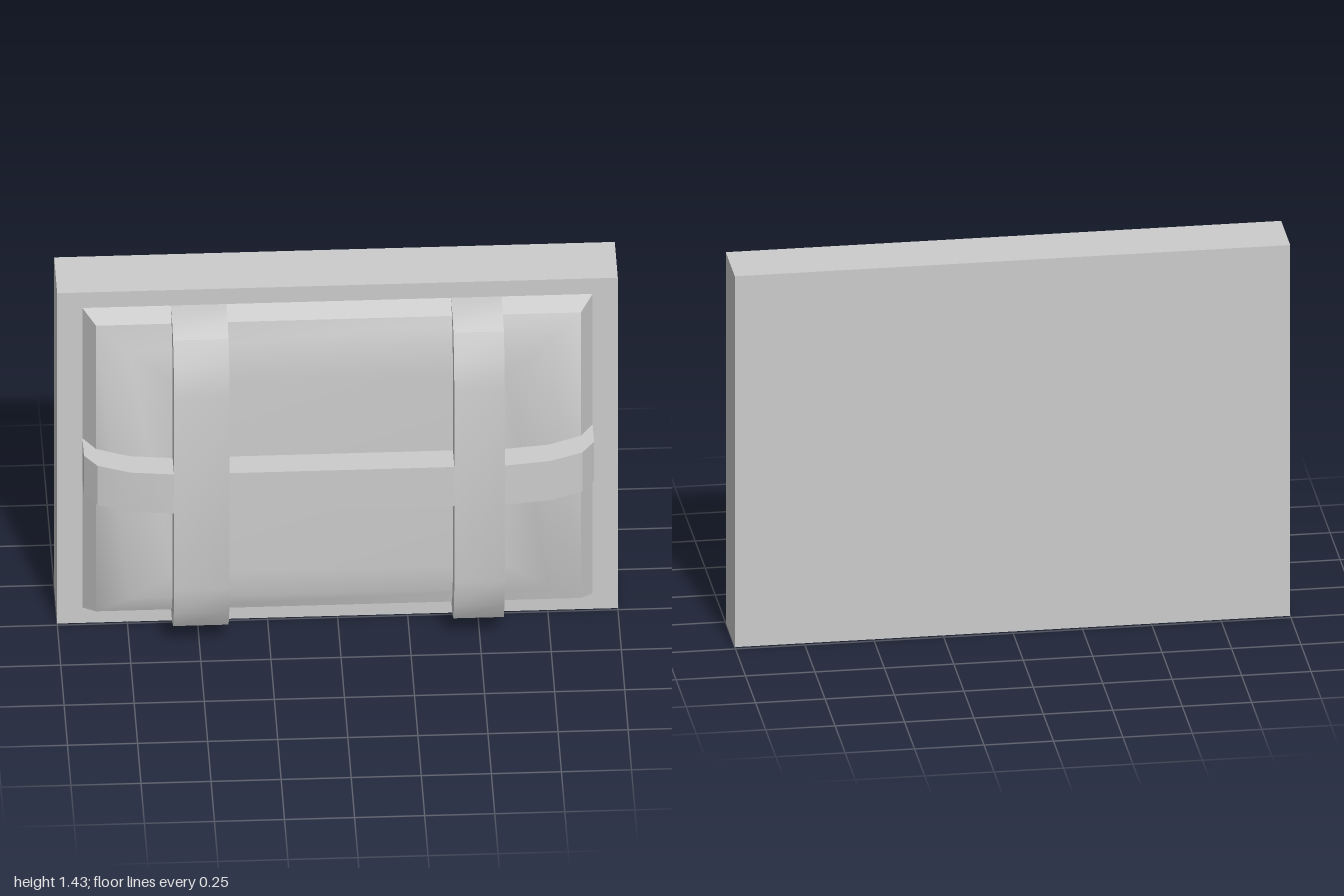
import * as THREE from 'three';
import { toCreasedNormals } from 'three/addons/utils/BufferGeometryUtils.js';

const MID_Y = 0.717;
const BACK = -0.01;

// Stepped rectangles of the cushion: half width, half height, z
const RINGS = [
  [0.91, 0.65, BACK],
  [0.865, 0.62, 0.06],
  [0.75, 0.533, 0.11],
  [0.59, 0.415, 0.13],
];

// Lofts rectangles from the outside in, optionally closing the front
function loft(rings, cap) {
  const positions = [];
  const index = [];
  for (const [w, h, z] of rings) {
    for (const [sx, sy] of [[-1, -1], [1, -1], [1, 1], [-1, 1]]) {
      positions.push(sx * w, MID_Y + sy * h, z);
    }
  }
  for (let r = 0; r < rings.length - 1; r++) {
    for (let i = 0; i < 4; i++) {
      const a = r * 4 + i;
      const b = r * 4 + (i + 1) % 4;
      index.push(a, b, b + 4, a, b + 4, a + 4);
    }
  }
  if (cap) {
    const n = (rings.length - 1) * 4;
    index.push(n, n + 1, n + 2, n, n + 2, n + 3);
  }
  const geometry = new THREE.BufferGeometry();
  geometry.setAttribute('position', new THREE.Float32BufferAttribute(positions, 3));
  geometry.setIndex(index);
  geometry.computeVertexNormals();
  return geometry;
}

function extrude(points, depth) {
  const shape = new THREE.Shape(points.map(([x, y]) => new THREE.Vector2(x, y)));
  return new THREE.ExtrudeGeometry(shape, { depth, bevelEnabled: false });
}

export function createModel() {
  const group = new THREE.Group();
  const grey = new THREE.MeshStandardMaterial({ color: 0xcccccc });
  const flatGrey = new THREE.MeshStandardMaterial({ color: 0xcccccc, flatShading: true });

  const add = (name, geometry, material = grey) => {
    const mesh = new THREE.Mesh(geometry, material);
    mesh.name = name;
    group.add(mesh);
    return mesh;
  };

  // Back slab
  add('backPanel', new THREE.BoxGeometry(2, 1.434, 0.224), flatGrey)
    .position.set(0, MID_Y, -0.122);

  // Cushion: crisp sloping rim and softly domed face
  add('cushionRim', loft(RINGS.slice(0, 2), false), flatGrey);
  add('cushionFace', loft(RINGS.slice(1), true));

  // Upright straps, bent over the top and bottom of the cushion
  const bend = [[BACK, 0.65], [0.10, 0.65], [0.165, 0.62], [0.213, 0.533], [0.234, 0.415]];
  const uprightProfile = [
    ...bend.map(([z, y]) => [z, MID_Y + y]),
    ...bend.slice().reverse().map(([z, y]) => [z, MID_Y - y]),
  ];
  for (const [name, x0, x1] of [['rightStrap', -0.595, -0.397], ['leftStrap', 0.405, 0.585]]) {
    const strap = extrude(uprightProfile, x1 - x0);
    strap.rotateY(-Math.PI / 2).translate(x1, 0, 0);
    add(name, toCreasedNormals(strap, 0.52));
  }

  // Cross strap: straight middle between the uprights and a bent end on each side
  const y0 = 0.632;
  const y1 = 0.802;
  add('crossStrapMiddle', new THREE.BoxGeometry(0.802, y1 - y0, 0.244), flatGrey)
    .position.set(0.004, (y0 + y1) / 2, 0.112);
  const endProfile = [[0.585, BACK], [0.91, BACK], [0.91, 0.10], [0.865, 0.165], [0.75, 0.213], [0.585, 0.234]];
  for (const side of [-1, 1]) {
    const end = extrude(endProfile.map(([x, z]) => [side * x, z]), y1 - y0);
    end.rotateX(Math.PI / 2).translate(0, y1, 0);
    add(side > 0 ? 'crossStrapLeftEnd' : 'crossStrapRightEnd', toCreasedNormals(end, 0.52));
  }

  return group;
}
